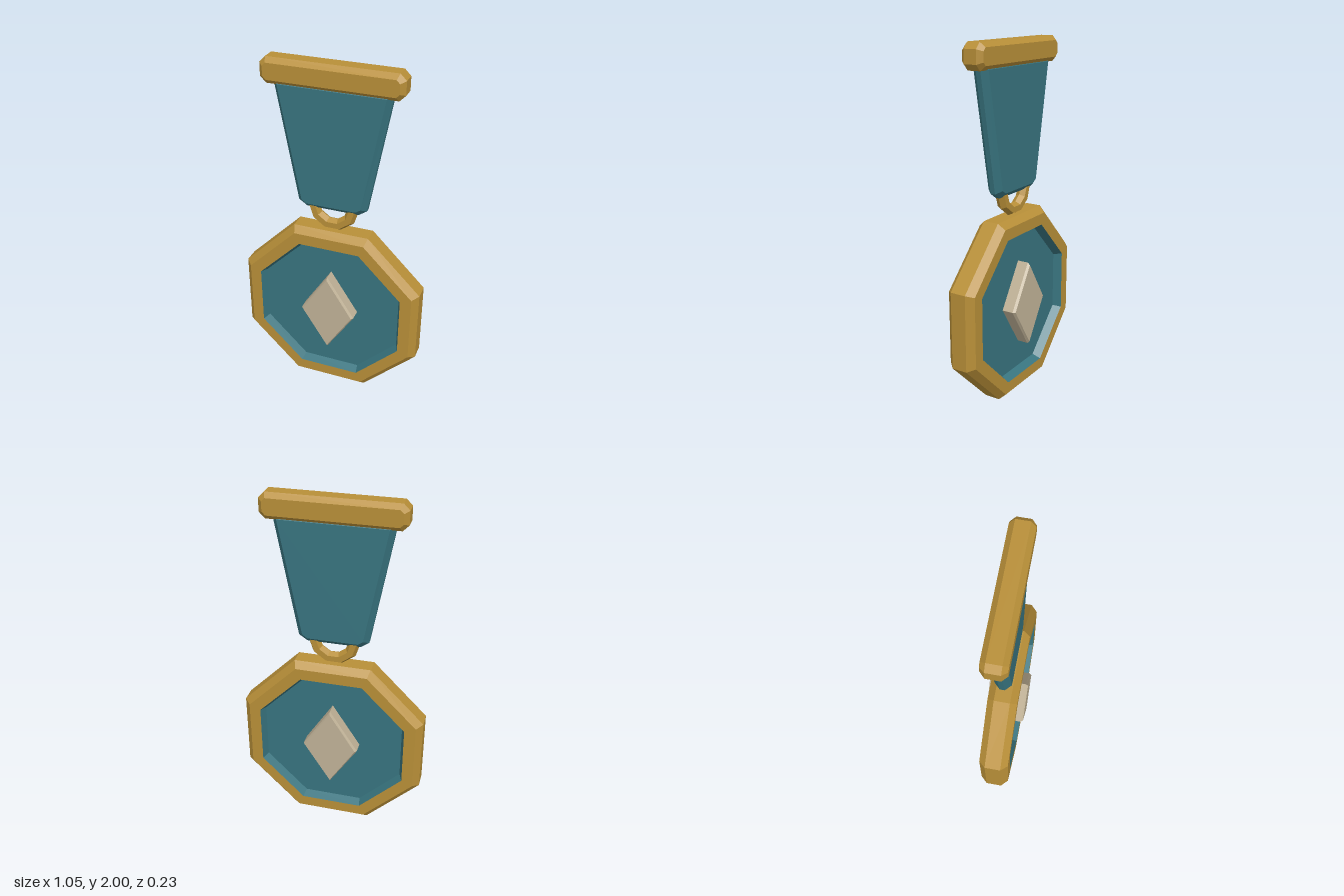
import * as THREE from 'three';

const gold = new THREE.MeshStandardMaterial({ color: 0xb88f38 });
const teal = new THREE.MeshStandardMaterial({ color: 0x38747f });
const cream = new THREE.MeshStandardMaterial({ color: 0xc0b297 });
gold.name = 'gold';
teal.name = 'teal';
cream.name = 'cream';

const MEDAL_Y = 0.526;

// Gives every facet its own flat normals
function faceted(geometry) {
  const flat = geometry.index ? geometry.toNonIndexed() : geometry;
  flat.computeVertexNormals();
  return flat;
}

function part(name, geometry, material, y = 0) {
  const mesh = new THREE.Mesh(faceted(geometry), material);
  mesh.name = name;
  mesh.position.y = y;
  return mesh;
}

// Chamfered slab: the outline is its widest section, halfZ its half depth
function slab(outline, halfZ, inset, chamferZ) {
  const shape = new THREE.Shape(outline.map(([x, y]) => new THREE.Vector2(x, y)));
  const depth = 2 * (halfZ - chamferZ);
  return new THREE.ExtrudeGeometry(shape, {
    depth, bevelEnabled: true, bevelSegments: 1,
    bevelSize: inset, bevelOffset: -inset, bevelThickness: chamferZ,
  }).translate(0, 0, -depth / 2);
}

// Octagonal turning with flat top; profile is [distance to flat side, z]
function octagon(profile) {
  const points = profile.map(([a, z]) => new THREE.Vector2(a / Math.cos(Math.PI / 8), z));
  return new THREE.LatheGeometry(points, 8, Math.PI / 8).rotateX(Math.PI / 2);
}

export function createModel() {
  const model = new THREE.Group();
  model.name = 'medal';

  // Medal body: gold rim with a teal recess on both faces
  model.add(part('rim', octagon([
    [0.425, -0.083], [0.49, -0.083], [0.525, -0.045],
    [0.525, 0.045], [0.49, 0.083], [0.425, 0.083],
  ]), gold, MEDAL_Y));
  model.add(part('frontRecess', octagon([[0.425, 0.083], [0.405, 0.035], [0, 0.035]]), teal, MEDAL_Y));
  model.add(part('backRecess', octagon([[0, -0.035], [0.405, -0.035], [0.425, -0.083]]), teal, MEDAL_Y));

  // Diamond passing through the body
  model.add(part('diamond', slab(
    [[0.16, 0], [0, 0.248], [-0.16, 0], [0, -0.248]], 0.114, 0.009, 0.014), cream, MEDAL_Y + 0.002));

  // Hanging ring
  model.add(part('ring', new THREE.TorusGeometry(0.115, 0.034, 6, 10), gold, 1.19));

  // Tapered ribbon
  model.add(part('ribbon', slab([
    [0.15, 1.17], [0.197, 1.202], [0.325, 1.89],
    [-0.325, 1.89], [-0.197, 1.202], [-0.15, 1.17],
  ], 0.046, 0.03, 0.032), teal));

  // Top bar with clipped corners
  const w = 0.386, h = 0.07, c = 0.033;
  model.add(part('topBar', slab([
    [w, -h + c], [w, h - c], [w - c, h], [-w + c, h],
    [-w, h - c], [-w, -h + c], [-w + c, -h], [w - c, -h],
  ], 0.064, 0.025, 0.027), gold, 1.93));

  return model;
}
